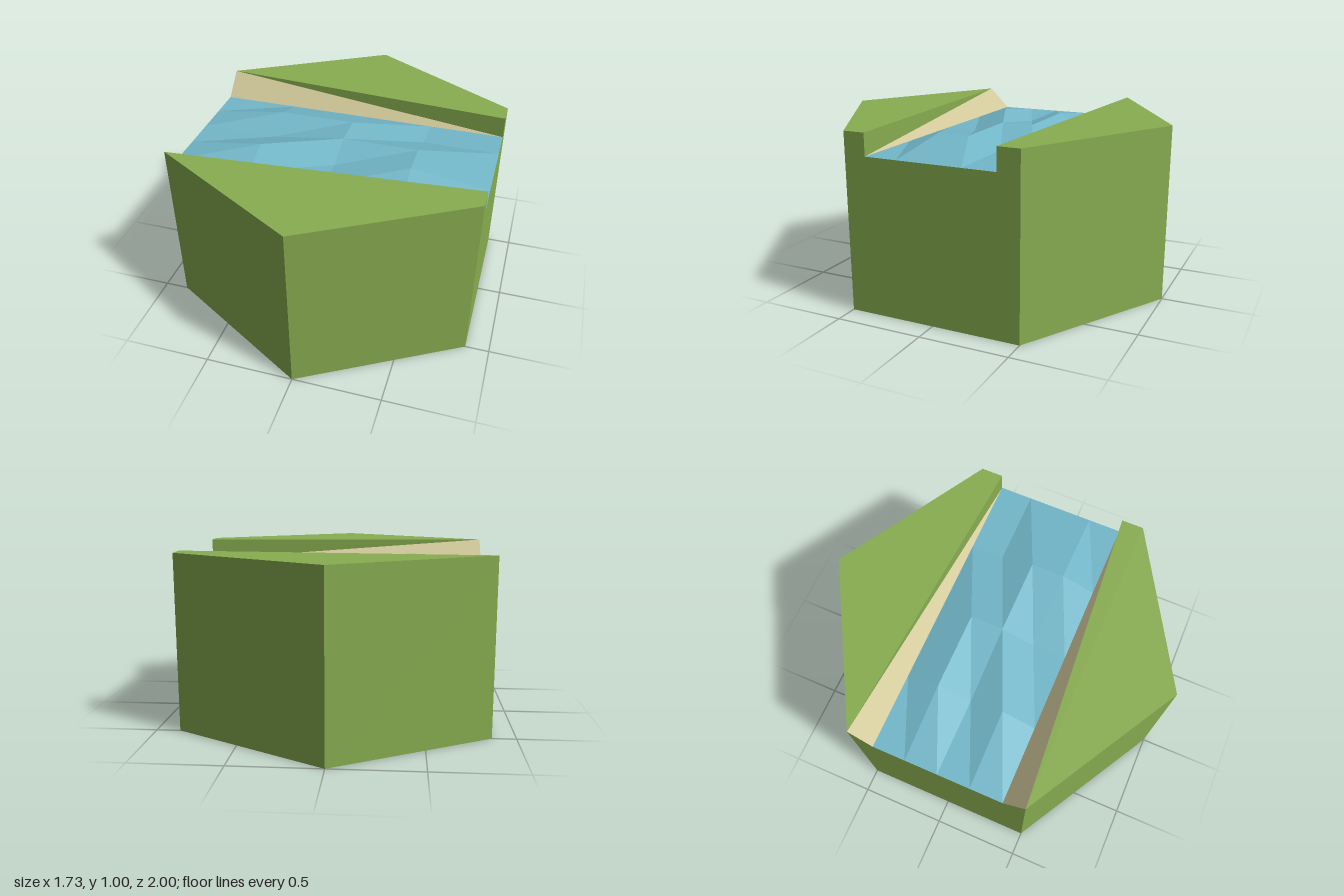
import * as THREE from 'three';

const S = 0.866;      // half width of the hexagon
const BANK = 0.375;   // half width of the river
const LOW = 0.875;    // river level
const CREST = 0.9375; // wave crests

const mat = (name, color) => {
  const m = new THREE.MeshStandardMaterial({ color, flatShading: true, side: THREE.DoubleSide });
  m.name = name;
  return m;
};

// Mesh from convex polygons, each a counterclockwise list of [x, y, z]
function faces(name, material, polys) {
  const pos = [];
  for (const p of polys) {
    for (let i = 1; i < p.length - 1; i++) pos.push(...p[0], ...p[i], ...p[i + 1]);
  }
  const g = new THREE.BufferGeometry();
  g.setAttribute('position', new THREE.Float32BufferAttribute(pos, 3));
  g.computeVertexNormals();
  const mesh = new THREE.Mesh(g, material);
  mesh.name = name;
  return mesh;
}

// Adds the z-mirrored copy of each polygon
const mirrored = (polys) => [
  ...polys,
  ...polys.map((p) => p.map(([x, y, z]) => [x, y, -z]).reverse()),
];

export function createModel() {
  const grass = mat('grass green', 0x88ad50);
  const sand = mat('sand', 0xd0c899);
  const water = mat('water blue', 0x72b7c9);
  const group = new THREE.Group();
  group.name = 'riverTile';

  // Outer walls, open underneath, notched where the river leaves
  group.add(faces('walls', grass, mirrored([
    [[0, 0, 1], [S, 0, 0.5], [S, 1, 0.5], [0, 1, 1]],
    [[-S, 0, 0.5], [0, 0, 1], [0, 1, 1], [-S, 1, 0.5]],
    [[S, 0, 0.5], [S, 0, 0], [S, LOW, 0], [S, LOW, 0.5]],
    [[S, LOW, 0.5], [S, LOW, BANK], [S, 1, BANK], [S, 1, 0.5]],
    [[-S, 0, 0], [-S, 0, 0.5], [-S, LOW, 0.5], [-S, LOW, 0]],
    [[-S, LOW, BANK], [-S, LOW, 0.5], [-S, 1, 0.5]],
  ])));

  // Grass tops on both sides of the river
  group.add(faces('land', grass, mirrored([
    [[-S, 1, 0.5], [0, 1, 1], [S, 1, 0.5], [S, 1, BANK]],
  ])));

  // Upright grass edges, growing taller towards the right end
  group.add(faces('bankEdges', grass, mirrored([
    [[-S, 1, 0.5], [S, 1, BANK], [S, LOW, BANK]],
  ])));

  // Sloping sand banks, widest at the left end
  group.add(faces('sandBanks', sand, mirrored([
    [[-S, 1, 0.5], [S, LOW, BANK], [-S, LOW, BANK]],
  ])));

  // Rippled river: grid of 4 x 4 cells with some raised points
  const waves = ['00000', '01100', '00110', '01010', '00000'];
  const point = (c, r) => [
    -S + (c * S) / 2,
    waves[r][c] === '1' ? CREST : LOW,
    -BANK + (r * BANK) / 2,
  ];
  const ripples = [];
  for (let r = 0; r < 4; r++) {
    for (let c = 0; c < 4; c++) {
      ripples.push([point(c, r), point(c, r + 1), point(c + 1, r)]);
      ripples.push([point(c + 1, r), point(c, r + 1), point(c + 1, r + 1)]);
    }
  }
  group.add(faces('river', water, ripples));

  return group;
}
